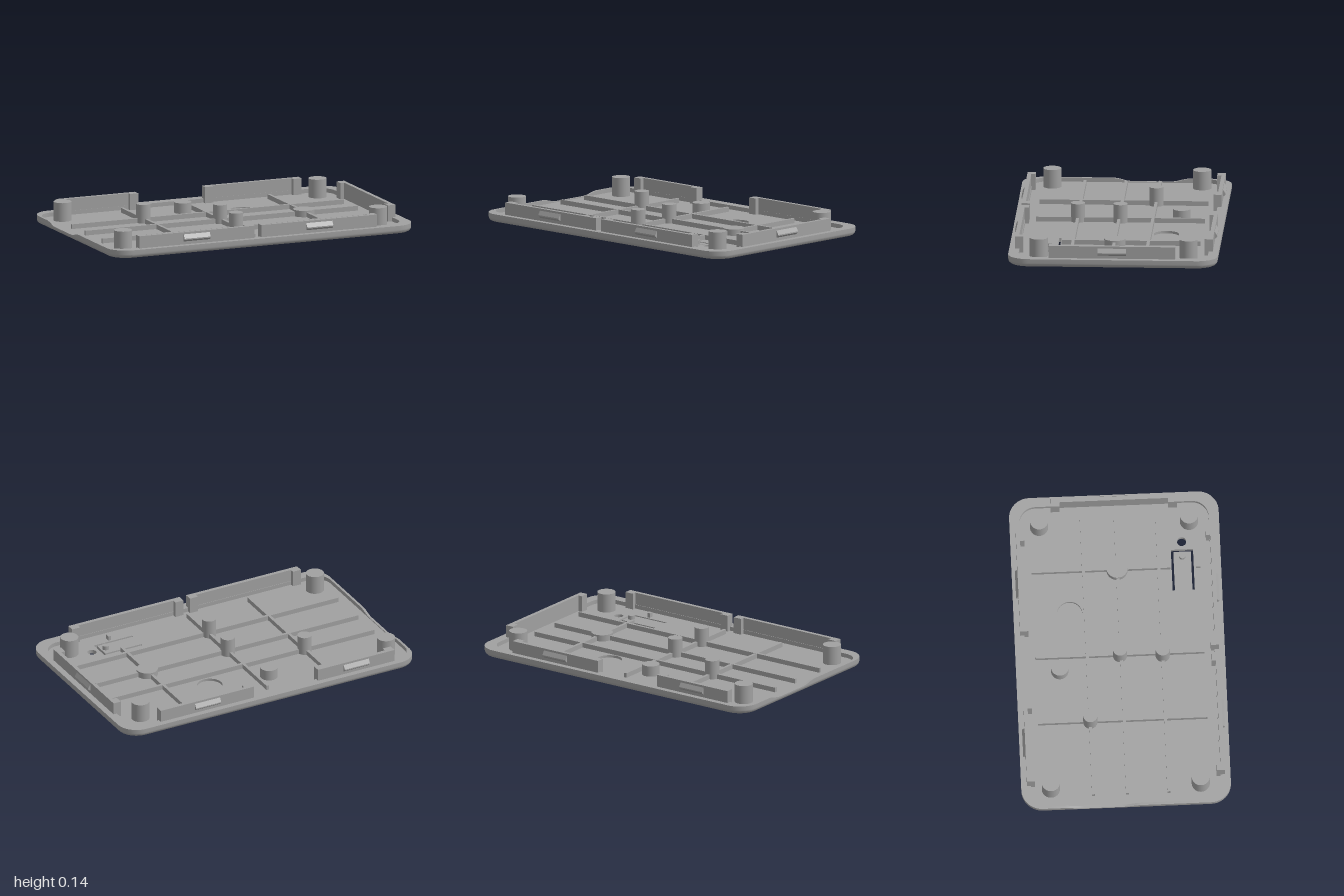
import * as THREE from 'three';
import { toCreasedNormals } from 'three/addons/utils/BufferGeometryUtils.js';

const FLOOR = 0.025, RIM = 0.05, WALL_TOP = 0.125;
const Z0 = -0.635, Z1 = 0.632;

// Rounded-rectangle ring, counter-clockwise from above; dip lowers the thumb notch on the left edge
function ring(x0, x1, z0, z1, r, y, dip = 0) {
  const pts = [];
  const corner = (cx, cz, start) => {
    for (let i = 0; i <= 10; i++) {
      const a = start + (i / 10) * Math.PI / 2;
      pts.push([cx + r * Math.cos(a), y, cz - r * Math.sin(a)]);
    }
  };
  corner(x1 - r, z1 - r, -Math.PI / 2);
  corner(x1 - r, z0 + r, 0);
  corner(x0 + r, z0 + r, Math.PI / 2);
  for (const [z, k] of [[-0.37, 0], [-0.34, 0.25], [-0.29, 0.9], [-0.26, 1], [-0.03, 1], [0, 0.9], [0.05, 0.25], [0.08, 0]]) {
    pts.push([x0, y - dip * k, z]);
  }
  corner(x0 + r, z1 - r, Math.PI);
  return pts;
}

const inset = (d, y, dip) => ring(-1 + d, 1 - d, Z0 + d, Z1 - d, 0.125 - d, y, dip);

// Skin a list of rings with equal point counts
function loft(rings) {
  const n = rings[0].length, index = [];
  for (let i = 0; i < rings.length - 1; i++) {
    for (let j = 0; j < n; j++) {
      const k = (j + 1) % n, a = i * n + j, b = i * n + k;
      index.push(a, b, b + n, a, b + n, a + n);
    }
  }
  const g = new THREE.BufferGeometry();
  g.setAttribute('position', new THREE.Float32BufferAttribute(rings.flat(2), 3));
  g.setIndex(index);
  return toCreasedNormals(g, 0.6);
}

const path = (pts, Type = THREE.Path) => new Type(pts.map(([x, z]) => new THREE.Vector2(x, -z)));
const circle = (x, z, r) => new THREE.Path().absarc(x, -z, r, 0, Math.PI * 2, true);

export function createModel() {
  const group = new THREE.Group();
  const grey = new THREE.MeshStandardMaterial({ color: 0xa0a0a0 });
  grey.name = 'grey plastic';

  const add = (name, geometry, parent = group) => {
    const m = new THREE.Mesh(geometry, grey);
    m.name = name;
    parent.add(m);
    return m;
  };
  const box = (name, x0, x1, y0, y1, z0, z1, parent) =>
    add(name, new THREE.BoxGeometry(x1 - x0, y1 - y0, z1 - z0), parent)
      .position.set((x0 + x1) / 2, (y0 + y1) / 2, (z0 + z1) / 2);

  // Rounded outer edge and raised rim
  const rings = [];
  for (let i = 0; i <= 5; i++) {
    const a = (i / 5) * Math.PI / 2;
    rings.push(inset(0.025 * (1 - Math.sin(a)), 0.025 * (1 - Math.cos(a))));
  }
  rings.push(inset(0, RIM, 0.02));
  rings.push(ring(-0.985, 0.94, -0.575, 0.57, 0.1, RIM, 0.02));
  rings.push(ring(-0.985, 0.94, -0.575, 0.57, 0.1, FLOOR));
  rings.push(inset(0.025, FLOOR));
  add('rim', loft(rings));

  // Floor in two layers: the upper one also has the round blind recess
  const layer = (name, y, depth, recess) => {
    const shape = path(inset(0.025, 0).map(([x, , z]) => [x, z]), THREE.Shape);
    shape.holes.push(
      path([[0.38, 0.333], [0.64, 0.333], [0.64, 0.467], [0.38, 0.467], [0.38, 0.453],
        [0.626, 0.453], [0.626, 0.347], [0.38, 0.347]]),
      circle(0.69, 0.4, 0.028));
    if (recess) shape.holes.push(circle(0.255, -0.295, 0.077));
    const g = new THREE.ExtrudeGeometry(shape, { depth, bevelEnabled: false, curveSegments: 20 });
    g.rotateX(-Math.PI / 2);
    add(name, toCreasedNormals(g, 0.6)).position.y = y;
  };
  layer('floorBottom', 0, 0.01, false);
  layer('floorTop', 0.01, FLOOR - 0.01, true);

  // Stiffening ribs
  const ribs = new THREE.Group();
  ribs.name = 'ribs';
  group.add(ribs);
  const w = 0.009, ribTop = 0.054;
  for (const z of [-0.2, 0.005, 0.255]) box('longRib', -0.92, 0.877, FLOOR, ribTop, z - w, z + w, ribs);
  for (const [x, z0, z1] of [[-0.445, -0.515, 0.507], [-0.025, -0.515, 0.507],
    [0.525, -0.515, 0.325], [0.525, 0.48, 0.507]]) {
    box('crossRib', x - w, x + w, FLOOR, ribTop - 0.0005, z0, z1, ribs);
  }

  // Round posts: x, z, radius, top
  const post = (name, x, z, r, top) =>
    add(name, new THREE.CylinderGeometry(r, r, top - FLOOR, 32)).position.set(x, (top + FLOOR) / 2, z);
  for (const x of [-0.866, 0.818]) {
    for (const z of [-0.456, 0.45]) post('cornerPost', x, z, 0.055, 0.14);
  }
  post('supportPost', -0.445, -0.2, 0.043, 0.14);
  post('supportPost', -0.025, -0.003, 0.043, 0.14);
  post('supportPost', -0.035, 0.255, 0.043, 0.14);
  post('shortPost', -0.11, -0.37, 0.053, 0.09);
  post('lowBoss', 0.525, 0.003, 0.065, 0.064);
  post('buttonNub', 0.595, 0.4, 0.021, 0.05);

  // Snap wall along local x, facing local +z: thin wall, two end blocks and a wedge clip
  const snapWall = (name, length, clipX) => {
    const wall = new THREE.Group(), h = length / 2;
    wall.name = name;
    box('wall', -h, h, FLOOR, WALL_TOP, -0.024, 0, wall);
    for (const s of [-1, 1]) {
      const c = s * (h - 0.0275);
      box('endBlock', c - 0.0275, c + 0.0275, FLOOR, WALL_TOP, -0.05, -0.02, wall);
    }
    const profile = new THREE.Shape([[0, 0.068], [0.015, 0.08], [0.015, 0.087], [0, 0.112]]
      .map(([z, y]) => new THREE.Vector2(z, y)));
    const clip = new THREE.ExtrudeGeometry(profile, { depth: 0.172, bevelEnabled: false });
    clip.translate(0, 0, -0.086).rotateY(-Math.PI / 2);
    add('clip', clip, wall).position.x = clipX;
    group.add(wall);
    return wall;
  };

  // Front and back pairs: x start, x end, clip centre
  for (const [x0, x1, c] of [[-0.823, -0.062, -0.445], [-0.017, 0.746, 0.365]]) {
    const m = (x0 + x1) / 2;
    snapWall('frontWall', x1 - x0, c - m).position.set(m, 0, 0.597);
  }
  for (const [x0, x1, c] of [[-0.848, -0.323, -0.585], [0.118, 0.755, 0.435]]) {
    const m = (x0 + x1) / 2;
    const wall = snapWall('backWall', x1 - x0, m - c);
    wall.position.set(m, 0, -0.6);
    wall.rotation.y = Math.PI;
  }
  const side = snapWall('sideWall', 0.765, 0);
  side.position.set(0.962, 0, 0);
  side.rotation.y = Math.PI / 2;

  return group;
}
